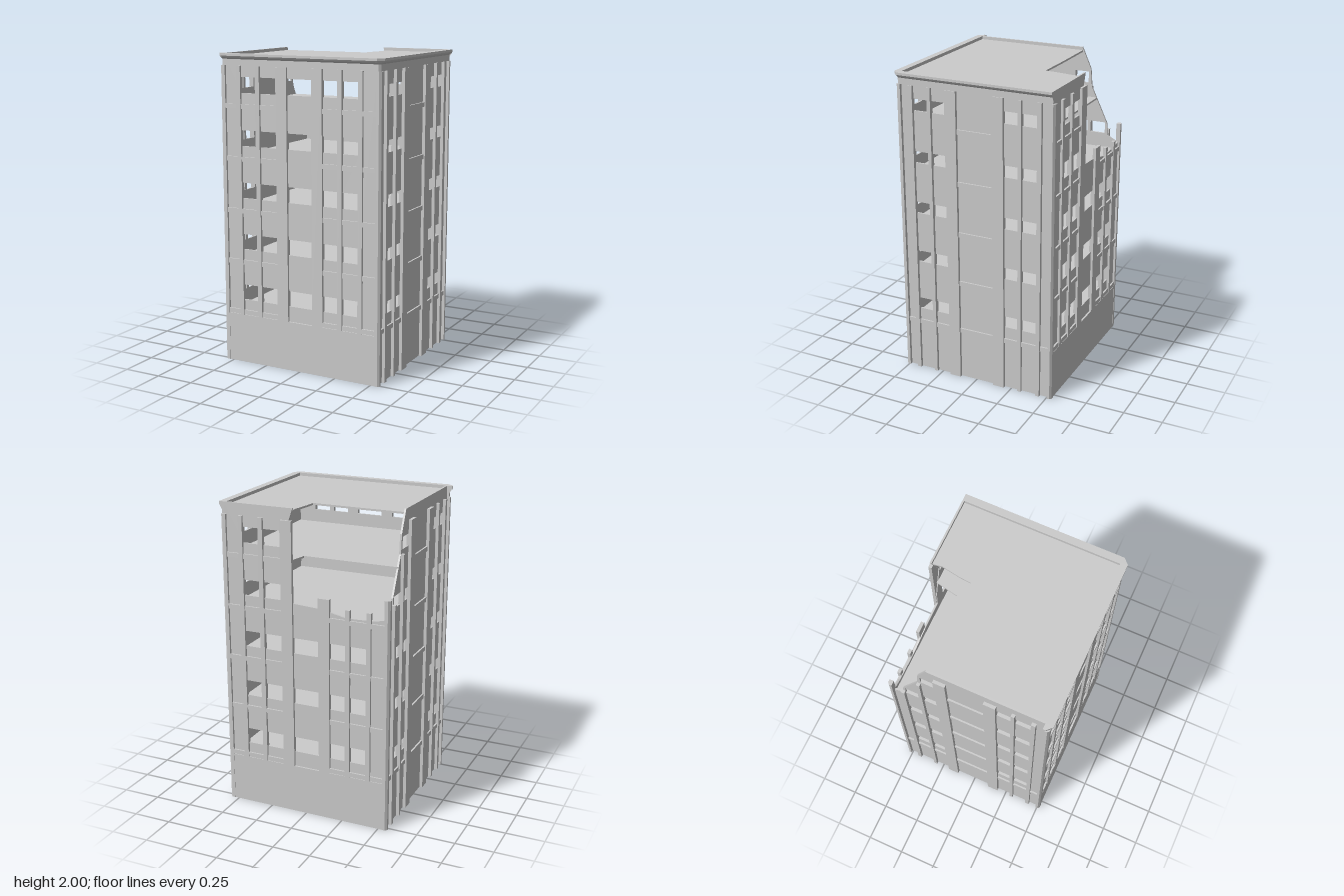
import * as THREE from 'three';

const material = new THREE.MeshStandardMaterial({ color: 0xcccccc, flatShading: true });
const openMaterial = new THREE.MeshStandardMaterial({ color: 0xcccccc, flatShading: true, side: THREE.DoubleSide });

const STOREY = 0.334, TOP = 2, EAVES = 1.925, ROOF = 1.98;
const HALF_X = 0.54, HALF_Z = 0.512; // outer wall planes

function add(parent, name, geometry, mat = material) {
  const mesh = new THREE.Mesh(geometry, mat);
  mesh.name = name;
  parent.add(mesh);
  return mesh;
}

// Box given by its limits on each axis
function block(parent, name, x0, x1, y0, y1, z0, z1) {
  const mesh = add(parent, name, new THREE.BoxGeometry(x1 - x0, y1 - y0, z1 - z0));
  mesh.position.set((x0 + x1) / 2, (y0 + y1) / 2, (z0 + z1) / 2);
  return mesh;
}

const toShape = (points) => new THREE.Shape(points.map(([x, y]) => new THREE.Vector2(x, y)));

function rectHole(x0, x1, y0, y1) {
  return new THREE.Path([[x0, y0], [x0, y1], [x1, y1], [x1, y0]].map(([x, y]) => new THREE.Vector2(x, y)));
}

// One wall with windows, pilasters and ledges; u runs across it, local +z points outwards
function facade(o) {
  const g = new THREE.Group();
  g.name = o.name;
  g.rotation.y = o.turn;
  const w = o.half, d = o.dist;
  const keep = o.keepWindow ?? (() => true);

  const shape = toShape(o.outline ?? [[-w, 0], [w, 0], [w, TOP], [-w, TOP]]);
  for (let i = 0; i < 5; i++) {
    for (const [u0, u1] of o.windows) {
      if (keep(u0, u1, i)) shape.holes.push(rectHole(u0, u1, o.sill + i * STOREY, o.head + i * STOREY));
    }
  }
  add(g, 'wall', new THREE.ExtrudeGeometry(shape, { depth: 0.012, bevelEnabled: false })).position.z = d - 0.012;

  o.pilasters.forEach(([u0, u1], i) => {
    block(g, 'pilaster', u0, u1, o.base, o.tops?.[i] ?? EAVES, d - 0.006, d + o.proud);
  });
  for (const [u0, u1, y] of o.ledges) block(g, 'ledge', u0, u1, y, y + 0.03, d - 0.006, d + 0.011);
  return g;
}

// Horizontal slab with its top at y; points are (x, z)
function slab(parent, name, points, y) {
  const mesh = add(parent, name, new THREE.ExtrudeGeometry(toShape(points), { depth: 0.012, bevelEnabled: false }));
  mesh.rotation.x = Math.PI / 2;
  mesh.position.y = y;
}

// Moulded cornice along the front and one side, chamfered at the corners
function corniceGeometry() {
  const profile = [[0, EAVES], [0.014, EAVES], [0.014, 1.965], [0.028, 1.975], [0.035, 1.985], [0.035, TOP], [-0.004, TOP]];
  const path = [
    [-HALF_X, HALF_Z - 0.02, -1, 0], [-HALF_X, HALF_Z - 0.004, -1, 0], [-HALF_X, HALF_Z - 0.004, 0, 1],
    [HALF_X, HALF_Z - 0.004, 0, 1], [HALF_X, HALF_Z - 0.004, 1, 0], [HALF_X, -HALF_Z, 1, 0],
  ];
  const pos = [], idx = [], n = profile.length;
  for (const [x, z, dx, dz] of path) {
    for (const [out, y] of profile) pos.push(x + dx * out, y, z + dz * out);
  }
  for (let i = 0; i < path.length - 1; i++) {
    for (let j = 0; j < n - 1; j++) {
      const a = i * n + j, b = a + n;
      idx.push(a, b, b + 1, a, b + 1, a + 1);
    }
  }
  // Close both ends
  for (let j = 1; j < n - 1; j++) {
    const e = (path.length - 1) * n;
    idx.push(0, j, j + 1, e, e + j + 1, e + j);
  }
  const geometry = new THREE.BufferGeometry();
  geometry.setAttribute('position', new THREE.Float32BufferAttribute(pos, 3));
  geometry.setIndex(idx);
  const flat = geometry.toNonIndexed();
  flat.computeVertexNormals();
  return flat;
}

export function createModel() {
  const model = new THREE.Group();
  model.name = 'damagedBuilding';
  const body = new THREE.Group();
  body.name = 'body';
  body.position.z = -0.0075;
  model.add(body);

  const levels = [0, 1, 2, 3, 4].map((i) => 0.322 + i * STOREY);

  // Front and back share one layout, turned half round
  const long = {
    half: HALF_X, dist: HALF_Z, base: 0.32, proud: 0.0155, sill: 0.42, head: 0.52,
    pilasters: [[-0.442, -0.413], [-0.305, -0.275], [-0.157, -0.08], [0.093, 0.167], [0.272, 0.302], [0.411, 0.44]],
    windows: [[-0.413, -0.305], [-0.275, -0.157], [-0.08, 0.093], [0.167, 0.272], [0.302, 0.411]],
    ledges: levels.flatMap((y) => [[-0.53, -0.157, y], [0.167, 0.53, y]]),
  };
  const front = facade({ ...long, name: 'frontWall', turn: 0 });
  const back = facade({
    ...long, name: 'backWall', turn: Math.PI,
    outline: [[-HALF_X, 0], [HALF_X, 0], [HALF_X, 1.39], [0.46, 1.37], [0.27, 1.365], [0.1, 1.4],
      [-0.082, 1.41], [-0.086, 1.53], [-0.148, 1.76], [-0.148, 1.8], [-0.075, TOP], [-HALF_X, TOP]],
    keepWindow: (u0, u1, i) => i < 3 || u1 < -0.15,
    tops: [EAVES, EAVES, EAVES, 1.47, 1.42, 1.42],
    ledges: long.ledges.filter(([u0, , y]) => u0 < 0 || y < 1.6),
  });
  for (const g of [front, back]) block(g, 'lowerPanel', -0.53, 0.53, 0, 0.32, HALF_Z - 0.006, HALF_Z + 0.012);

  // Side walls
  const side = {
    half: HALF_Z, dist: HALF_X, base: 0, proud: 0.02, sill: 0.43, head: 0.505,
    pilasters: [[-0.443, -0.416], [-0.314, -0.291], [-0.195, -0.119], [0.119, 0.195], [0.291, 0.314], [0.416, 0.443]],
    windows: [[-0.416, -0.314], [-0.291, -0.195], [0.195, 0.291], [0.314, 0.416]],
    ledges: levels.map((y, i) => (i ? [-0.119, 0.119, y] : [-0.5, 0.5, y])),
  };
  const leftSide = facade({ ...side, name: 'intactSideWall', turn: Math.PI / 2 });
  const rightSide = facade({
    ...side, name: 'brokenSideWall', turn: -Math.PI / 2,
    outline: [[-HALF_Z, 0], [HALF_Z, 0], [HALF_Z, TOP], [-0.242, TOP], [-0.305, 1.86],
      [-0.315, 1.74], [-0.43, 1.5], [-0.435, 1.42], [-HALF_Z, 1.38]],
    keepWindow: (u0, u1, i) => i < 4 || u0 > -0.3,
    tops: [1.46, 1.74],
  });
  body.add(front, back, leftSide, rightSide);

  // Corner posts, one snapped off
  for (const sx of [-1, 1]) {
    for (const sz of [-1, 1]) {
      const top = sx < 0 && sz < 0 ? 1.51 : EAVES;
      const p = [[0.526, 0.498], [0.56, 0.498], [0.56, 0.515], [0.547, 0.5265], [0.526, 0.5265]]
        .map(([x, z]) => [x * sx, z * sz]);
      slabPost(body, p, top);
    }
  }

  // Floors, with the upper ones torn away at the broken corner
  const X = 0.532, Z = 0.504;
  block(body, 'baseSlab', -X, X, 0, 0.012, -Z, Z);
  const whole = [[-X, -Z], [X, -Z], [X, Z], [-X, Z]];
  for (let i = 0; i < 4; i++) slab(body, 'floor', whole, 0.335 + i * STOREY);
  slab(body, 'brokenFloor', [[-X, -0.353], [0.08, -0.353], [0.11, -Z], [X, -Z], [X, Z], [-X, Z]], 1.671);
  slab(body, 'brokenRoof', [[-X, -0.245], [-0.22, -0.248], [0.068, -0.245], [0.075, -0.32], [0.095, -0.44],
    [0.085, -Z], [X, -Z], [X, Z], [-X, Z]], ROOF);

  add(body, 'cornice', corniceGeometry(), openMaterial);
  return model;
}

// Upright post from a plan outline of (x, z) points
function slabPost(parent, points, height) {
  const mesh = add(parent, 'cornerPost', new THREE.ExtrudeGeometry(toShape(points), { depth: height, bevelEnabled: false }));
  mesh.rotation.x = Math.PI / 2;
  mesh.position.y = height;
}
